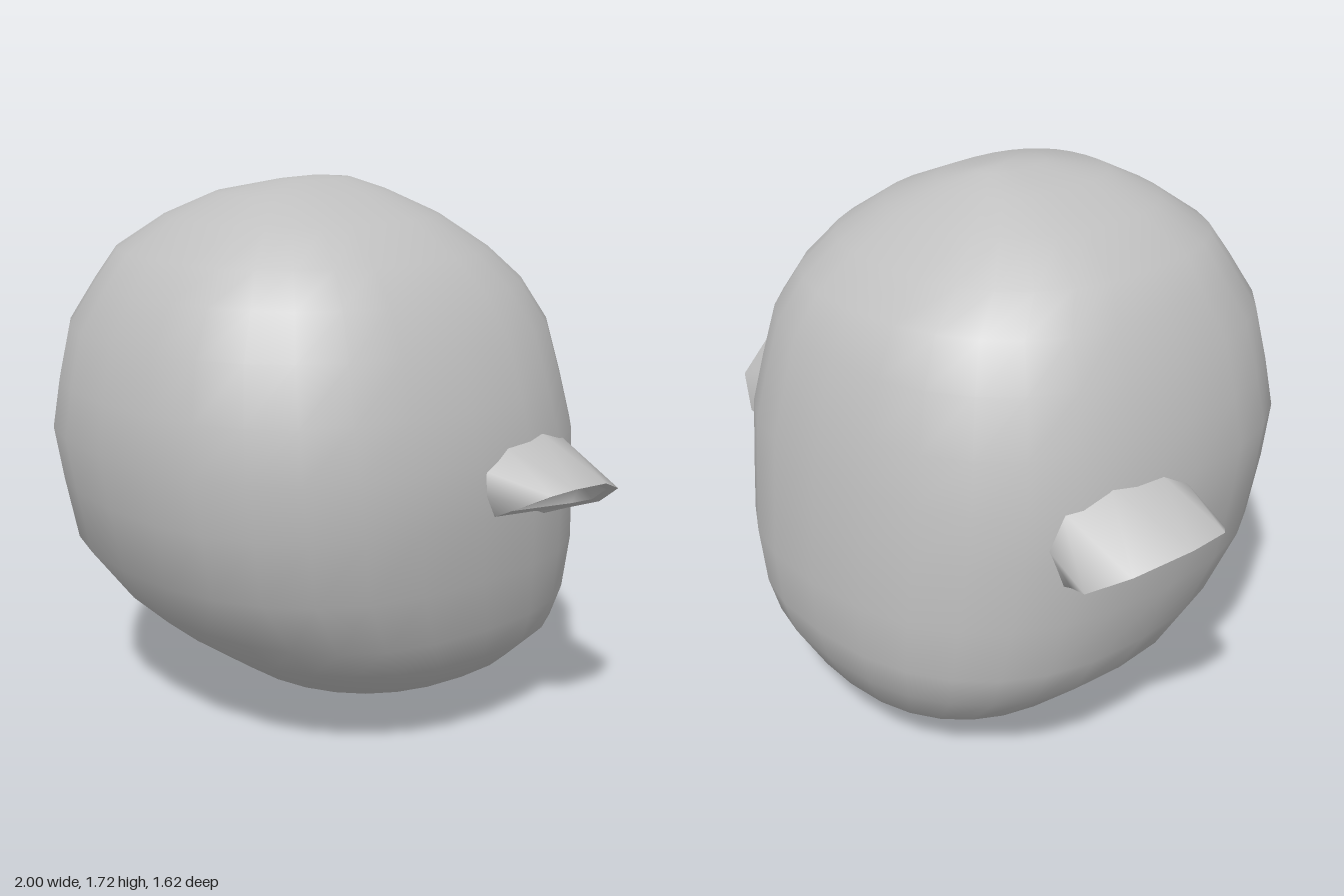
import * as THREE from 'three';
import { mergeVertices } from 'three/addons/utils/BufferGeometryUtils.js';

// Skin a stack of equally long closed loops of [x, y, z] points
function loft(loops) {
  const n = loops[0].length;
  const index = [];
  for (let r = 0; r < loops.length - 1; r++) {
    for (let i = 0; i < n; i++) {
      const a = r * n + i, b = r * n + (i + 1) % n;
      index.push(a, b, b + n, a, b + n, a + n);
    }
  }
  const geo = new THREE.BufferGeometry();
  geo.setAttribute('position', new THREE.Float32BufferAttribute(loops.flat(2), 3));
  geo.setIndex(index);
  const merged = mergeVertices(geo);
  merged.computeVertexNormals();
  return merged;
}

// Horizontal head section: a slightly squared oval
function headLoop([y, front, back, halfWidth]) {
  const mid = (front + back) / 2, depth = (front - back) / 2;
  const soft = (v) => Math.sign(v) * Math.abs(v) ** (2 / 2.4);
  return Array.from({ length: 28 }, (_, i) => {
    const a = (i / 28) * Math.PI * 2;
    return [halfWidth * soft(Math.sin(a)), y, mid + depth * soft(Math.cos(a))];
  });
}

// Shrink a loop toward its centre, then shift it
function inset(loop, scale, shift = [0, 0, 0]) {
  const centre = [0, 1, 2].map((k) => loop.reduce((s, p) => s + p[k], 0) / loop.length);
  return loop.map((p) => p.map((v, k) => centre[k] + (v - centre[k]) * scale + shift[k]));
}

export function createModel() {
  const model = new THREE.Group();
  const grey = new THREE.MeshStandardMaterial({ color: 0xc0c0c0 });
  grey.name = 'grey';

  const add = (parent, name, loops) => {
    const mesh = new THREE.Mesh(loft(loops), grey);
    mesh.name = name;
    parent.add(mesh);
  };

  // Head sections from chin to crown: y, front z, back z, half width
  const sections = [
    [0.0, -0.27, -0.27, 0], [0.04, 0.0, -0.51, 0.27], [0.15, 0.28, -0.68, 0.49],
    [0.29, 0.48, -0.76, 0.65], [0.4, 0.6, -0.79, 0.7], [0.58, 0.74, -0.805, 0.745],
    [0.78, 0.78, -0.785, 0.765], [0.95, 0.81, -0.77, 0.77], [1.1, 0.79, -0.735, 0.735],
    [1.27, 0.757, -0.69, 0.69], [1.4, 0.68, -0.61, 0.61], [1.5, 0.61, -0.49, 0.54],
    [1.6, 0.47, -0.35, 0.39], [1.67, 0.33, -0.21, 0.22], [1.705, 0.14, -0.12, 0.07],
    [1.715, 0.0, 0.0, 0],
  ];
  add(model, 'head', sections.map(headLoop));

  // Ear: flared root on the head, and a rim that slopes down and inward
  const root = [
    [0.74, 0.75, -0.02], [0.75, 0.85, -0.01], [0.74, 0.93, 0.0], [0.74, 0.98, -0.1],
    [0.71, 0.99, -0.28], [0.66, 0.95, -0.42], [0.65, 0.84, -0.46], [0.67, 0.71, -0.42],
  ];
  const rim = [
    [0.76, 0.78, -0.05], [0.9, 0.85, -0.03], [0.96, 0.885, -0.07], [1.0, 0.905, -0.12],
    [1.0, 0.9, -0.25], [0.92, 0.84, -0.4], [0.8, 0.76, -0.46], [0.72, 0.73, -0.43],
  ];
  const lip = inset(rim, 0.76, [0, 0.005, 0]);
  const cup = inset(rim, 0.6, [-0.03, 0.045, 0]);
  const cupCentre = inset(rim, 0, [-0.03, 0.05, 0]);

  for (const side of [1, -1]) {
    const ear = new THREE.Group();
    ear.name = side > 0 ? 'leftEar' : 'rightEar';
    // Mirroring turns the loops over, so the +x side runs them backwards
    const place = (loop) => {
      const moved = loop.map(([x, y, z]) => [x * side, y, z]);
      return side > 0 ? moved.reverse() : moved;
    };
    add(ear, 'earShell', [root, rim].map(place));
    add(ear, 'earRim', [rim, lip].map(place));
    add(ear, 'earHollow', [lip, cup, cupCentre].map(place));
    model.add(ear);
  }
  return model;
}
